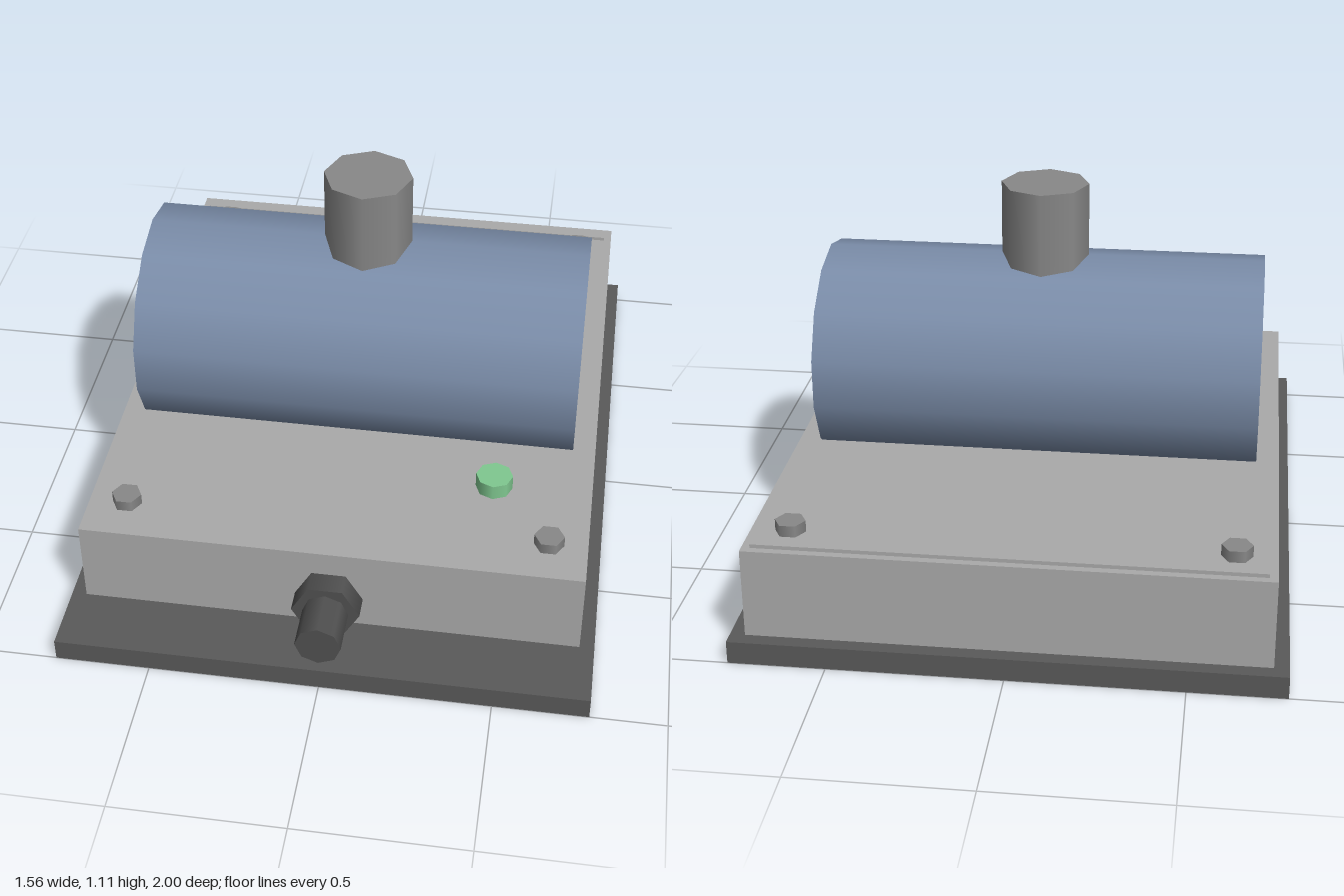
import * as THREE from 'three';

const paint = (name, color) => {
  const m = new THREE.MeshStandardMaterial({ color });
  m.name = name;
  return m;
};

export function createModel() {
  const model = new THREE.Group();
  model.name = 'tankUnit';
  const darkGrey = paint('darkGrey', 0x5a5a5a);
  const plugGrey = paint('plugGrey', 0x505050);
  const lightGrey = paint('lightGrey', 0xaaaaaa);
  const midGrey = paint('midGrey', 0x888888);
  const blue = paint('steelBlue', 0x7a8ca8);
  const green = paint('green', 0x80c890);

  const add = (name, geometry, material) => {
    const mesh = new THREE.Mesh(geometry, material);
    mesh.name = name;
    model.add(mesh);
    return mesh;
  };
  // Box given by its lower and upper limits
  const box = (name, material, [x0, y0, z0], [x1, y1, z1]) =>
    add(name, new THREE.BoxGeometry(x1 - x0, y1 - y0, z1 - z0), material)
      .position.set((x0 + x1) / 2, (y0 + y1) / 2, (z0 + z1) / 2);
  // Cylinder between two ends along an axis, with a corner on the local x axis
  const rod = (name, material, axis, sides, r, from, to, x, y, z) => {
    const g = new THREE.CylinderGeometry(r, r, to - from, sides, 1, false, Math.PI / 2);
    if (axis === 'x') g.rotateZ(Math.PI / 2);
    if (axis === 'z') g.rotateX(Math.PI / 2);
    const mesh = add(name, g, material);
    mesh.position.set(x, y, z);
    mesh.position[axis] = (from + to) / 2;
  };

  // Base plate, housing and rear rail
  box('basePlate', darkGrey, [-0.778, 0, -1], [0.778, 0.067, 1]);
  box('housing', lightGrey, [-0.735, 0.067, -0.957], [0.735, 0.333, 0.8]);
  box('rearRail', lightGrey, [-0.711, 0.333, -0.935], [0.711, 0.344, -0.893]);

  // Horizontal drum with its outlet on top
  rod('drum', blue, 'x', 14, 0.333, -0.667, 0.667, 0, 0.555, 0);
  rod('outletPipe', midGrey, 'y', 8, 0.133, 0.8, 1.112, 0, 0, 0);

  // Front fitting
  rod('fittingNut', plugGrey, 'z', 6, 0.1, 0.79, 0.867, 0, 0.168, 0);
  rod('fittingStub', plugGrey, 'z', 8, 0.067, 0.85, 1, 0, 0.168, 0);

  // Corner bolts and indicator
  for (const x of [-0.622, 0.622])
    for (const z of [-0.825, 0.665])
      rod('bolt', midGrey, 'y', 6, 0.044, 0.32, 0.367, x, 0, z);
  rod('indicator', green, 'y', 8, 0.055, 0.32, 0.38, 0.443, 0, 0.443);

  return model;
}
